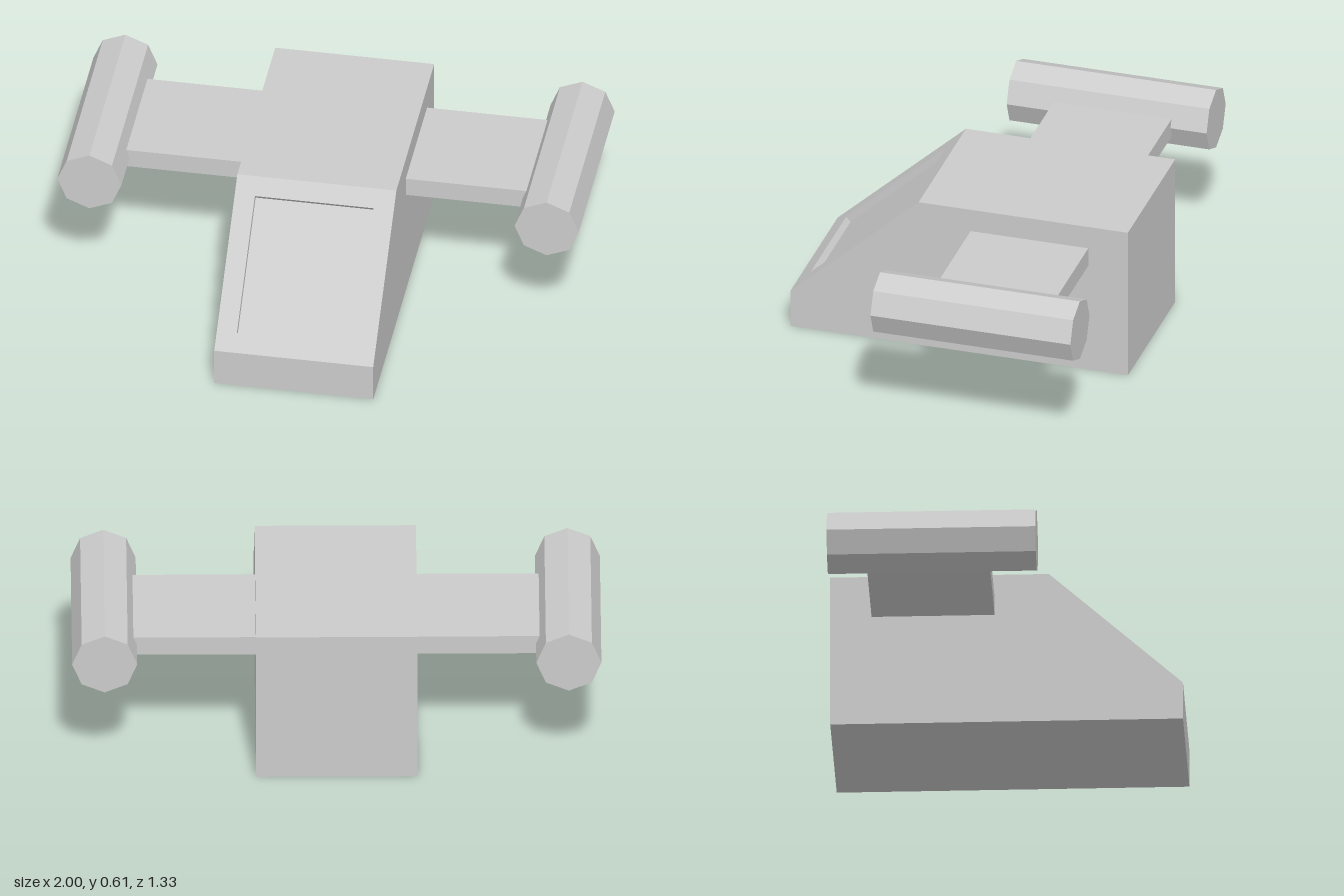
import * as THREE from 'three';

const material = new THREE.MeshStandardMaterial({ color: 0xcccccc, flatShading: true });

// Flat-faced geometry from convex polygons, each fanned into triangles
function polygonGeometry(polygons) {
  const points = [];
  for (const p of polygons) {
    for (let i = 1; i < p.length - 1; i++) points.push(p[0], p[i], p[i + 1]);
  }
  const geometry = new THREE.BufferGeometry().setFromPoints(points);
  geometry.computeVertexNormals();
  return geometry;
}

// Quads joining two four-cornered rings
function bridge(outer, inner) {
  return outer.map((p, i) => {
    const j = (i + 1) % outer.length;
    return [p, outer[j], inner[j], inner[i]];
  });
}

function addMesh(parent, name, geometry, x = 0, y = 0, z = 0) {
  const mesh = new THREE.Mesh(geometry, material);
  mesh.name = name;
  mesh.position.set(x, y, z);
  parent.add(mesh);
  return mesh;
}

function hullGeometry() {
  const half = 0.305, margin = 0.077, depth = 0.026;
  // Side profile as [z, y], from back bottom to back top
  const profile = [[-0.667, 0], [0.667, 0], [0.667, 0.15], [0.16, 0.612], [-0.667, 0.612]];
  const side = (x) => profile.map(([z, y]) => new THREE.Vector3(x, y, z));
  const right = side(-half), left = side(half);
  const faces = [right, left.slice().reverse()];

  // Bottom, nose, roof and back; the sloped face is built separately
  profile.forEach((_, i) => {
    const j = (i + 1) % profile.length;
    if (i !== 2) faces.push([right[i], left[i], left[j], right[j]]);
  });

  // Sloped face: frame, recess walls and recessed window pane
  const rim = [right[2], left[2], left[3], right[3]];
  const up = right[3].clone().sub(right[2]).normalize();
  const inward = up.clone().cross(new THREE.Vector3(1, 0, 0));
  const opening = rim.map((p, i) => p.clone()
    .addScaledVector(up, i < 2 ? margin : -margin)
    .add(new THREE.Vector3(i === 0 || i === 3 ? margin : -margin, 0, 0)));
  const pane = opening.map((p) => p.clone().addScaledVector(inward, depth));
  faces.push(...bridge(rim, opening), ...bridge(opening, pane), pane);
  return polygonGeometry(faces);
}

export function createModel() {
  const model = new THREE.Group();
  model.name = 'shuttle';

  addMesh(model, 'hull', hullGeometry());

  // Wings and eight-sided engine pods, mirrored
  const wing = new THREE.BoxGeometry(0.515, 0.075, 0.465);
  const pod = new THREE.CylinderGeometry(0.123, 0.123, 0.79, 8).rotateX(Math.PI / 2);
  for (const [name, s] of [['left', 1], ['right', -1]]) {
    addMesh(model, `${name}Wing`, wing, s * 0.5625, 0.483, -0.278);
    addMesh(model, `${name}Engine`, pod, s * 0.877, 0.488, -0.258);
  }
  return model;
}
